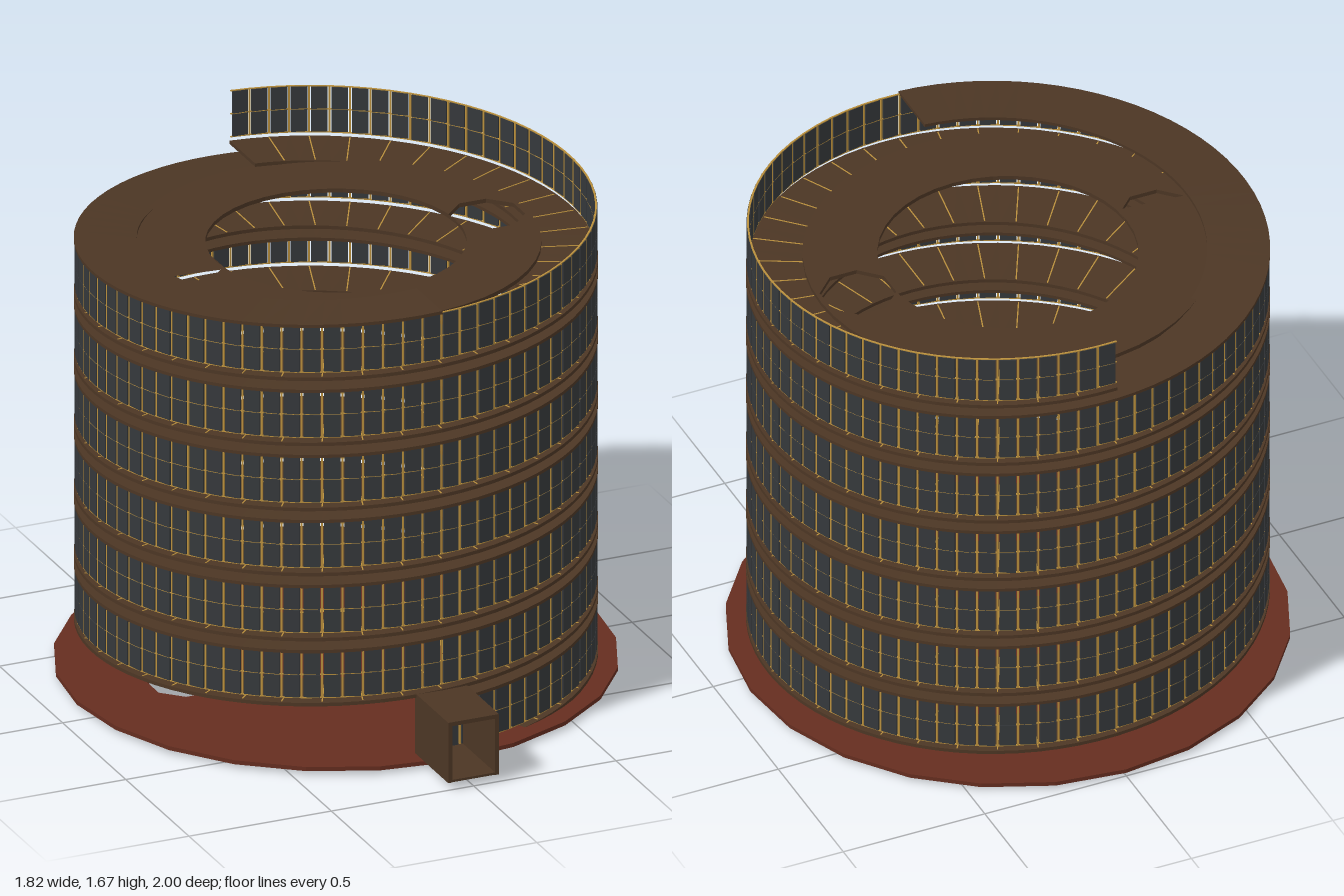
import * as THREE from 'three';
import { mergeGeometries } from 'three/addons/utils/BufferGeometryUtils.js';

const PITCH = 0.2277, TURNS = 6.5, PER_TURN = 80, R = 0.835;

const mat = (name, color) => {
  const m = new THREE.MeshStandardMaterial({ color });
  m.name = name;
  return m;
};

// Rectangular cross-section swept along the helix; the spiral starts at the front and climbs towards +x
function helixSlab(ri, ro, y0, y1, t0, t1) {
  const section = [[ri, y0], [ro, y0], [ro, y1], [ri, y1]];
  const n = Math.round((t1 - t0) * PER_TURN), pos = [];
  const at = (i, k) => {
    const t = t0 + (t1 - t0) * i / n, a = t * Math.PI * 2, [r, y] = section[k % 4];
    return [r * Math.sin(a), y + PITCH * t, r * Math.cos(a)];
  };
  const quad = (a, b, c, d) => pos.push(...a, ...b, ...c, ...a, ...c, ...d);
  for (let i = 0; i < n; i++) {
    for (let k = 0; k < 4; k++) quad(at(i, k), at(i + 1, k), at(i + 1, k + 1), at(i, k + 1));
  }
  quad(at(0, 0), at(0, 1), at(0, 2), at(0, 3));
  quad(at(n, 3), at(n, 2), at(n, 1), at(n, 0));
  const g = new THREE.BufferGeometry();
  g.setAttribute('position', new THREE.Float32BufferAttribute(pos, 3));
  g.computeVertexNormals();
  return g;
}

// Box standing on the helix at turn t, radius r and height y above the ramp
function helixBox(w, h, d, r, y, t) {
  return new THREE.BoxGeometry(w, h, d)
    .translate(0, y + PITCH * t, r)
    .rotateY(t * Math.PI * 2);
}

function polygon(Type, cx, r, sides, turn = 0) {
  const pts = [];
  for (let i = 0; i < sides; i++) {
    const a = (i / sides) * Math.PI * 2 + turn;
    pts.push(new THREE.Vector2(cx + r * Math.cos(a), r * Math.sin(a)));
  }
  return new Type(pts);
}

// Flat disc with the two octagonal shafts and an optional round opening
function plate(r, sides, y, thickness, opening) {
  const s = polygon(THREE.Shape, 0, r, sides);
  for (const x of [-0.53, 0.53]) s.holes.push(polygon(THREE.Path, x, 0.123, 8, Math.PI / 8));
  if (opening) s.holes.push(polygon(THREE.Path, 0, opening, 40));
  return new THREE.ExtrudeGeometry(s, { depth: thickness, bevelEnabled: false })
    .rotateX(-Math.PI / 2).translate(0, y, 0);
}

export function createModel() {
  const brown = mat('dark brown', 0x4c3624);
  const red = mat('red brown', 0x652d1f);
  const slate = mat('slate', 0x35383b);
  const gold = mat('gold', 0xb98f3c);

  const model = new THREE.Group();
  model.name = 'spiralTower';
  const tower = new THREE.Group();
  tower.name = 'tower';
  tower.position.z = -0.09;
  model.add(tower);
  const add = (name, geometry, material, parent = tower) => {
    const m = new THREE.Mesh(geometry, material);
    m.name = name;
    parent.add(m);
    return m;
  };

  // Ground disc with an inlaid ring
  add('base', plate(0.91, 24, 0.012, 0.014), red);
  add('baseRing', new THREE.RingGeometry(0.343, 0.363, 48).rotateX(-Math.PI / 2).translate(0, 0.028, 0), gold);

  // Top inner floor around the open court
  add('innerFloor', plate(0.66, 48, 1.462, 0.014, 0.42), brown);

  // Ramp and its ceiling; the last half turn is open to the sky
  add('ramp', helixSlab(0.64, 0.842, 0, 0.012, 0, TURNS), brown);
  add('ceiling', helixSlab(0.64, 0.842, 0.186, 0.197, 0, 6), brown);

  // Panelled outer wall: two panes per bay, slim posts and rails
  const panes = [], posts = [], seams = [];
  const bays = TURNS * PER_TURN;
  for (let i = 0; i < bays; i++) {
    const t = (i + 0.5) / PER_TURN;
    for (const y of [0.069, 0.149]) panes.push(helixBox(0.053, 0.077, 0.008, R, y, t));
    posts.push(helixBox(0.0055, 0.163, 0.005, R, 0.109, i / PER_TURN));
    if (i % 2 === 0) seams.push(helixBox(0.004, 0.002, 0.19, 0.74, 0.0125, i / PER_TURN));
  }
  add('wallPanels', mergeGeometries(panes), slate);
  add('wallPosts', mergeGeometries(posts), gold);
  add('rampSeams', mergeGeometries(seams), gold);
  for (const [name, y] of [['bottomRail', 0.027], ['middleRail', 0.1075], ['topRail', 0.188]]) {
    add(name, helixSlab(R - 0.003, R + 0.003, y, y + 0.003, 0, TURNS), gold);
  }

  // Entrance tunnel, open at both ends
  const entrance = new THREE.Group();
  entrance.name = 'entrance';
  entrance.position.set(0, 0, 0.868);
  model.add(entrance);
  for (const s of [-1, 1]) {
    add(s > 0 ? 'leftWall' : 'rightWall', new THREE.BoxGeometry(0.014, 0.21, 0.264).translate(s * 0.082, 0.13, 0), brown, entrance);
  }
  add('entranceRoof', new THREE.BoxGeometry(0.178, 0.014, 0.264).translate(0, 0.229, 0), brown, entrance);
  add('entranceFloor', new THREE.BoxGeometry(0.178, 0.008, 0.264).translate(0, 0.03, 0), brown, entrance);

  return model;
}
